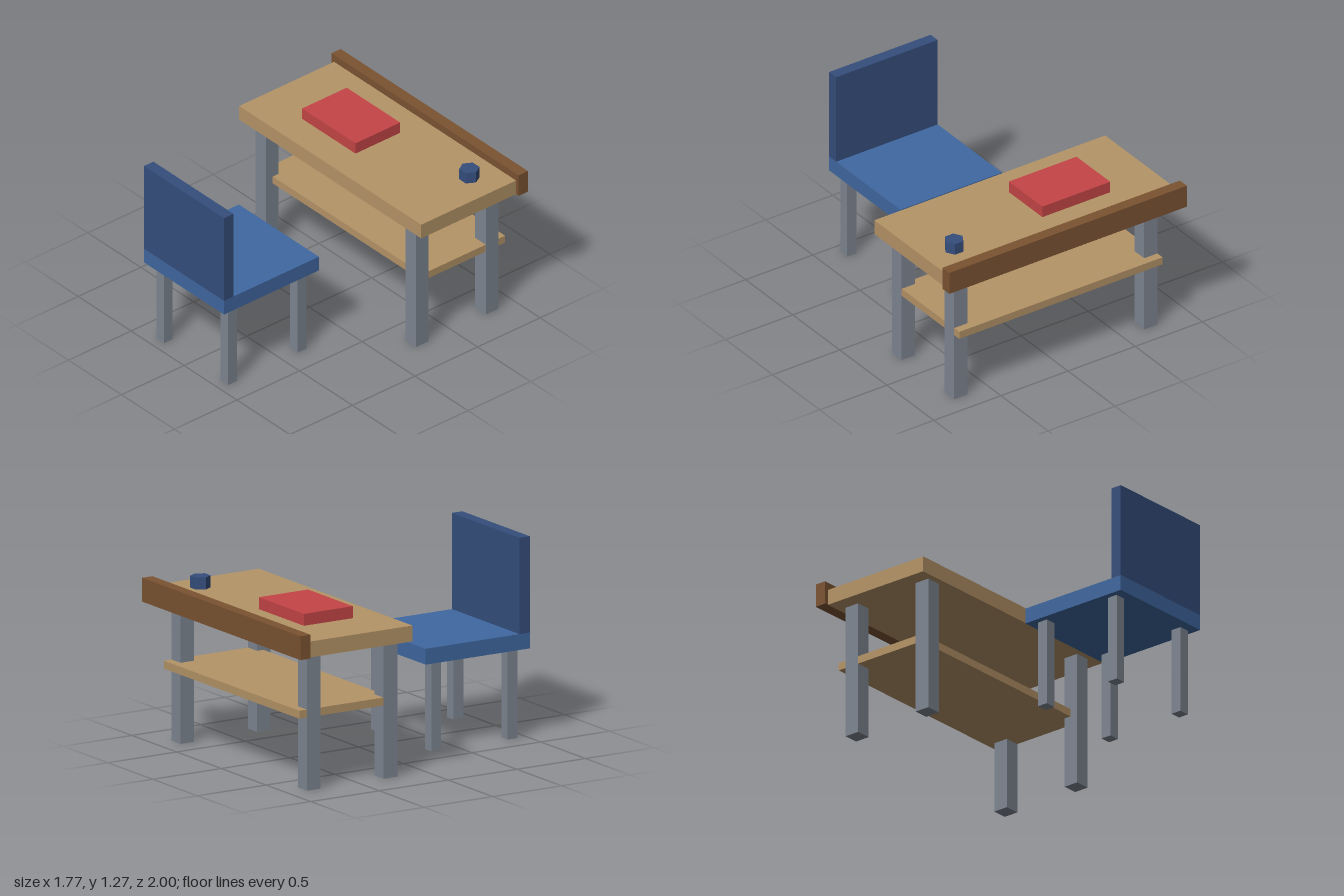
import * as THREE from 'three';

const mat = (name, color) => {
  const m = new THREE.MeshStandardMaterial({ color });
  m.name = name;
  return m;
};

export function createModel() {
  const wood = mat('light wood', 0xb59467);
  const darkWood = mat('dark wood', 0x7b5332);
  const metal = mat('grey metal', 0x7e8692);
  const blue = mat('seat blue', 0x4068a1);
  const navy = mat('navy blue', 0x354e7c);
  const red = mat('book red', 0xc54546);

  const model = new THREE.Group();
  model.name = 'deskAndChair';
  const group = (name) => {
    const g = new THREE.Group();
    g.name = name;
    model.add(g);
    return g;
  };
  // Box given by its extents along each axis
  const box = (parent, name, material, [x0, x1], [y0, y1], [z0, z1]) => {
    const mesh = new THREE.Mesh(new THREE.BoxGeometry(x1 - x0, y1 - y0, z1 - z0), material);
    mesh.position.set((x0 + x1) / 2, (y0 + y1) / 2, (z0 + z1) / 2);
    mesh.name = name;
    parent.add(mesh);
  };
  // Four square legs, mirrored left and right
  const legs = (parent, name, x, size, height, zs) => {
    for (const z of zs) for (const side of [-1, 1]) {
      const cx = side * x;
      box(parent, name, metal, [cx - size / 2, cx + size / 2], [0, height], [z - size / 2, z + size / 2]);
    }
  };

  // Desk: top, raised back rail, shelf and legs
  const desk = group('desk');
  box(desk, 'deskTop', wood, [-0.86, 0.86], [0.865, 0.965], [-0.926, -0.168]);
  box(desk, 'backRail', darkWood, [-0.885, 0.885], [0.865, 1.015], [-1, -0.926]);
  box(desk, 'shelf', wood, [-0.757, 0.757], [0.46, 0.51], [-0.925, -0.265]);
  legs(desk, 'deskLeg', 0.708, 0.1, 0.865, [-0.262, -0.82]);

  // Chair: seat, upright back and legs
  const chair = group('chair');
  box(chair, 'seat', blue, [-0.378, 0.378], [0.563, 0.663], [0.242, 1]);
  box(chair, 'chairBack', navy, [-0.378, 0.378], [0.663, 1.268], [0.925, 1]);
  legs(chair, 'chairLeg', 0.303, 0.071, 0.563, [0.344, 0.9]);

  // Things on the desk: a book and a six-sided cup
  const items = group('deskItems');
  box(items, 'book', red, [-0.505, 0], [0.965, 1.04], [-0.727, -0.37]);
  const cup = new THREE.Mesh(new THREE.CylinderGeometry(0.063, 0.063, 0.075, 6), navy.clone());
  cup.material = navy;
  cup.geometry = cup.geometry.toNonIndexed();
  cup.geometry.computeVertexNormals();
  cup.rotation.y = Math.PI / 2;
  cup.position.set(0.656, 1.0025, -0.725);
  cup.name = 'cup';
  items.add(cup);

  return model;
}
